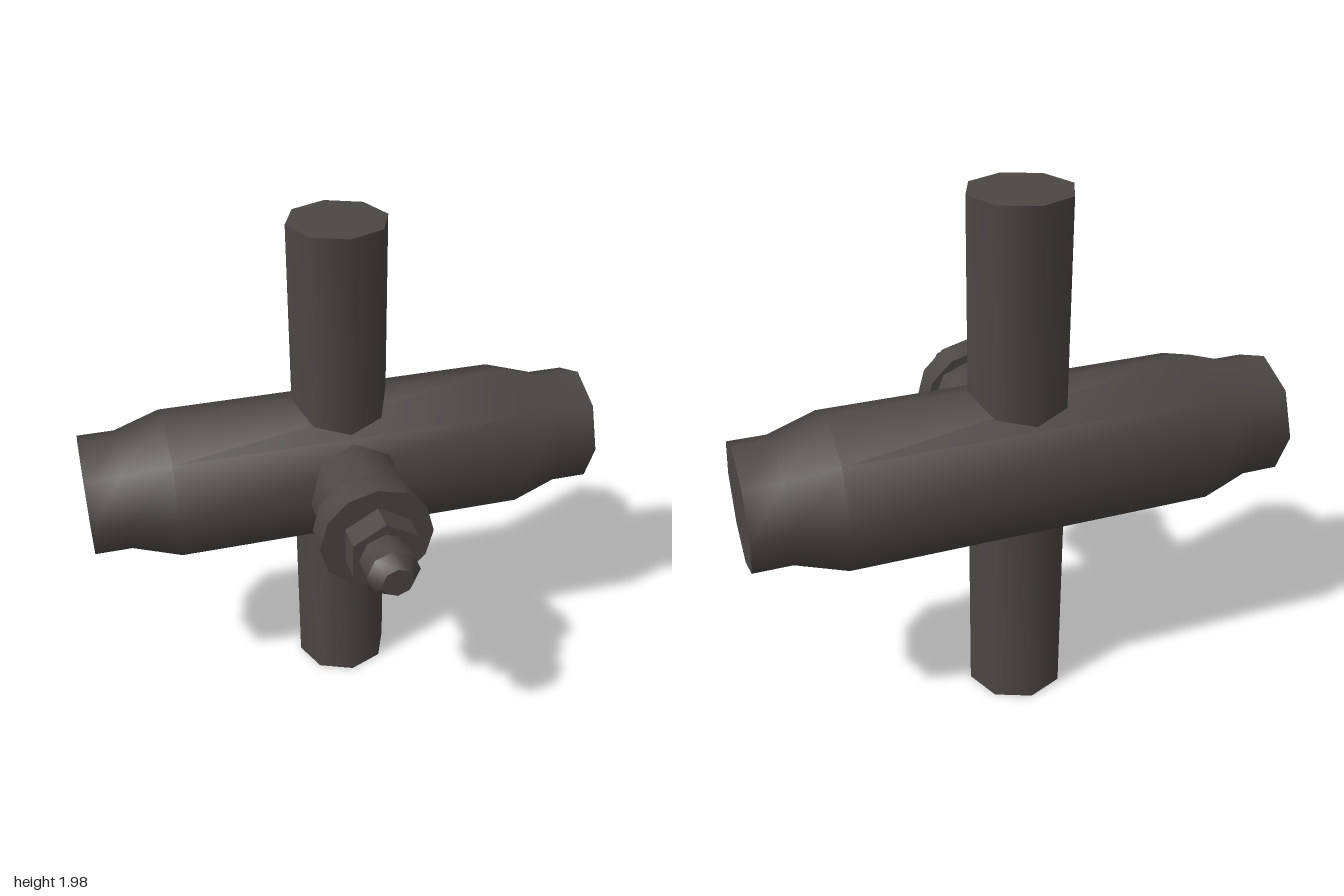
import * as THREE from 'three';
import { toCreasedNormals } from 'three/addons/utils/BufferGeometryUtils.js';

const AXIS_Y = 0.99; // height of the crossing pipes
const AXIS_Z = -0.265; // depth of the main pipe and the upright

export function createModel() {
  const group = new THREE.Group();
  const metal = new THREE.MeshStandardMaterial({ color: 0x4b4745 });
  metal.name = 'dark iron';

  // Closed turned part: sections are [radius, position along axis], in rising order.
  function turned(name, sides, sections) {
    const points = [
      [0, sections[0][1]],
      ...sections,
      [0, sections[sections.length - 1][1]],
    ].map(([r, t]) => new THREE.Vector2(r, t));
    const geometry = toCreasedNormals(new THREE.LatheGeometry(points, sides), THREE.MathUtils.degToRad(50));
    const mesh = new THREE.Mesh(geometry, metal);
    mesh.name = name;
    group.add(mesh);
    return mesh;
  }

  // Horizontal body with necked ends
  const body = turned('mainPipe', 8, [
    [0.232, -1], [0.232, -0.86], [0.29, -0.68],
    [0.29, 0.68], [0.232, 0.86], [0.232, 1],
  ]);
  body.rotation.z = -Math.PI / 2;
  body.position.set(0, AXIS_Y, AXIS_Z);

  // Upright pipe running through the body
  const upright = turned('verticalPipe', 8, [[0.187, 0], [0.187, 1.98]]);
  upright.position.set(-0.003, 0, AXIS_Z);

  // Front branch with its fittings, stacked along z
  const fittings = [
    ['branchPipe', 8, -0.003, [[0.187, -0.2], [0.187, 0.2]]],
    ['collar', 12, -0.01, [[0.213, 0.185], [0.213, 0.3]]],
    ['hexNut', 6, -0.01, [[0.138, 0.3], [0.138, 0.403]]],
    ['nozzle', 8, -0.01, [[0.098, 0.4], [0.098, 0.5]]],
    ['nozzleTip', 8, -0.01, [[0.098, 0.5], [0.058, 0.553]]],
  ];
  for (const [name, sides, x, sections] of fittings) {
    const part = turned(name, sides, sections);
    part.rotation.x = Math.PI / 2;
    part.position.set(x, AXIS_Y, 0);
  }

  return group;
}
